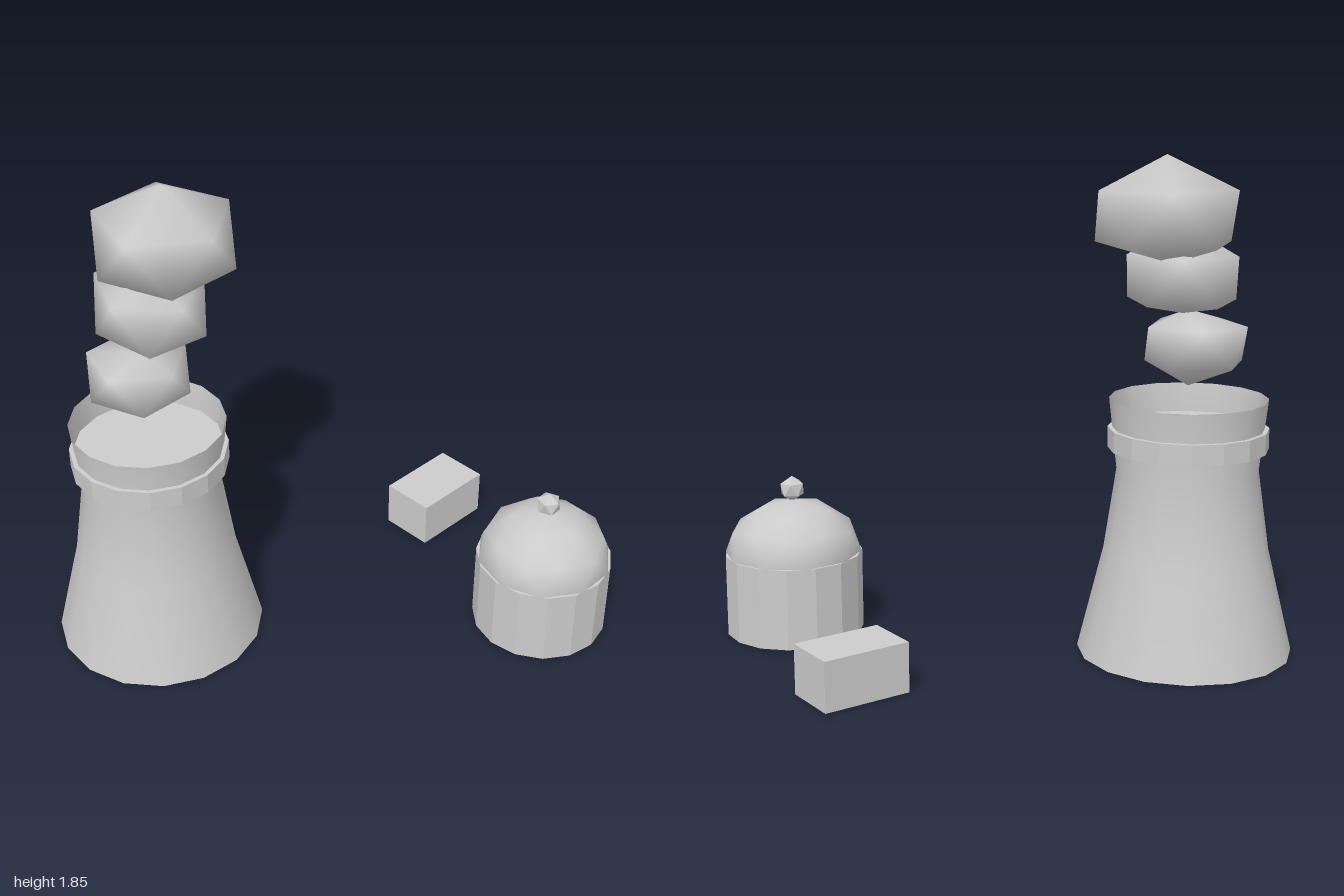
import * as THREE from 'three';
import { mergeVertices } from 'three/addons/utils/BufferGeometryUtils.js';

const concrete = new THREE.MeshStandardMaterial({ color: 0xcccccc, side: THREE.DoubleSide });
concrete.name = 'concrete grey';

// Icosphere standing on a vertex, with an upper-ring vertex towards +x
function icosphere(detail, smooth) {
  let geo = new THREE.IcosahedronGeometry(1, detail);
  geo.rotateX(-Math.atan2((1 + Math.sqrt(5)) / 2, 1));
  geo.rotateY(Math.PI / 2);
  if (smooth) {
    geo.deleteAttribute('normal');
    geo.deleteAttribute('uv');
    geo = mergeVertices(geo, 1e-3);
  }
  return geo;
}

// Prism with flat facets, one corner towards +x
function prism(radius, height, sides) {
  const geo = new THREE.CylinderGeometry(radius, radius, height, sides).toNonIndexed();
  geo.rotateY(Math.PI / 2);
  geo.computeVertexNormals();
  return geo;
}

// Smooth lumpy puff: stretched icosahedron with its two poles shifted
function puff({ size, yaw = 0, top = [0, 0, 0], bottom = [0, 0, 0] }) {
  const geo = icosphere(0, true);
  geo.rotateY(yaw);
  geo.scale(...size);
  const pos = geo.attributes.position;
  for (let i = 0; i < pos.count; i++) {
    const h = pos.getY(i) / size[1];
    if (Math.abs(h) < 0.9) continue;
    const d = h > 0 ? top : bottom;
    pos.setXYZ(i, pos.getX(i) + d[0], pos.getY(i) + d[1], pos.getZ(i) + d[2]);
  }
  geo.computeVertexNormals();
  return geo;
}

export function createModel() {
  const model = new THREE.Group();
  const add = (name, geo, x, y, z) => {
    const mesh = new THREE.Mesh(geo, concrete);
    mesh.name = name;
    mesh.position.set(x, y, z);
    model.add(mesh);
    return mesh;
  };

  // Cooling tower: open waisted shell with a capped collar
  const profile = [[0.4, 0], [0.305, 0.39], [0.261, 0.69], [0.291, 0.957]]
    .map(([r, y]) => new THREE.Vector2(r, y));
  add('coolingTower', new THREE.LatheGeometry(profile, 16), -0.6, 0, -0.28);
  add('towerCollar', prism(0.295, 0.077, 16), -0.6, 0.81, -0.28);

  // Rising steam
  add('lowerSteamPuff', puff({
    size: [0.21, 0.157, 0.187 / 0.89], top: [0.01, -0.037, 0.05], bottom: [0.015, 0, 0.025],
  }), -0.612, 1.16, -0.3);
  add('middleSteamPuff', puff({
    size: [0.225, 0.19, 0.256], yaw: -0.157, bottom: [-0.02, 0.055, 0.03],
  }), -0.538, 1.41, -0.33);
  add('upperSteamPuff', puff({
    size: [0.286, 0.215, 0.286], bottom: [0, 0.055, -0.055],
  }), -0.456, 1.631, -0.365);

  // Reactor building: drum, dome and finial
  add('reactorDrum', prism(0.263, 0.31, 15), 0.734, 0.155, 0.413);
  const dome = icosphere(1, true);
  dome.scale(0.262, 0.21, 0.262);
  dome.computeVertexNormals();
  add('reactorDome', dome, 0.734, 0.308, 0.413);
  const finial = icosphere(0, false);
  finial.scale(0.05, 0.05, 0.05);
  add('domeFinial', finial, 0.734, 0.557, 0.413);

  // Small outbuilding
  const shed = add('outbuilding', new THREE.BoxGeometry(0.335, 0.186, 0.215), 0.69, 0.093, -0.328);
  shed.rotation.y = 0.285;

  return model;
}
